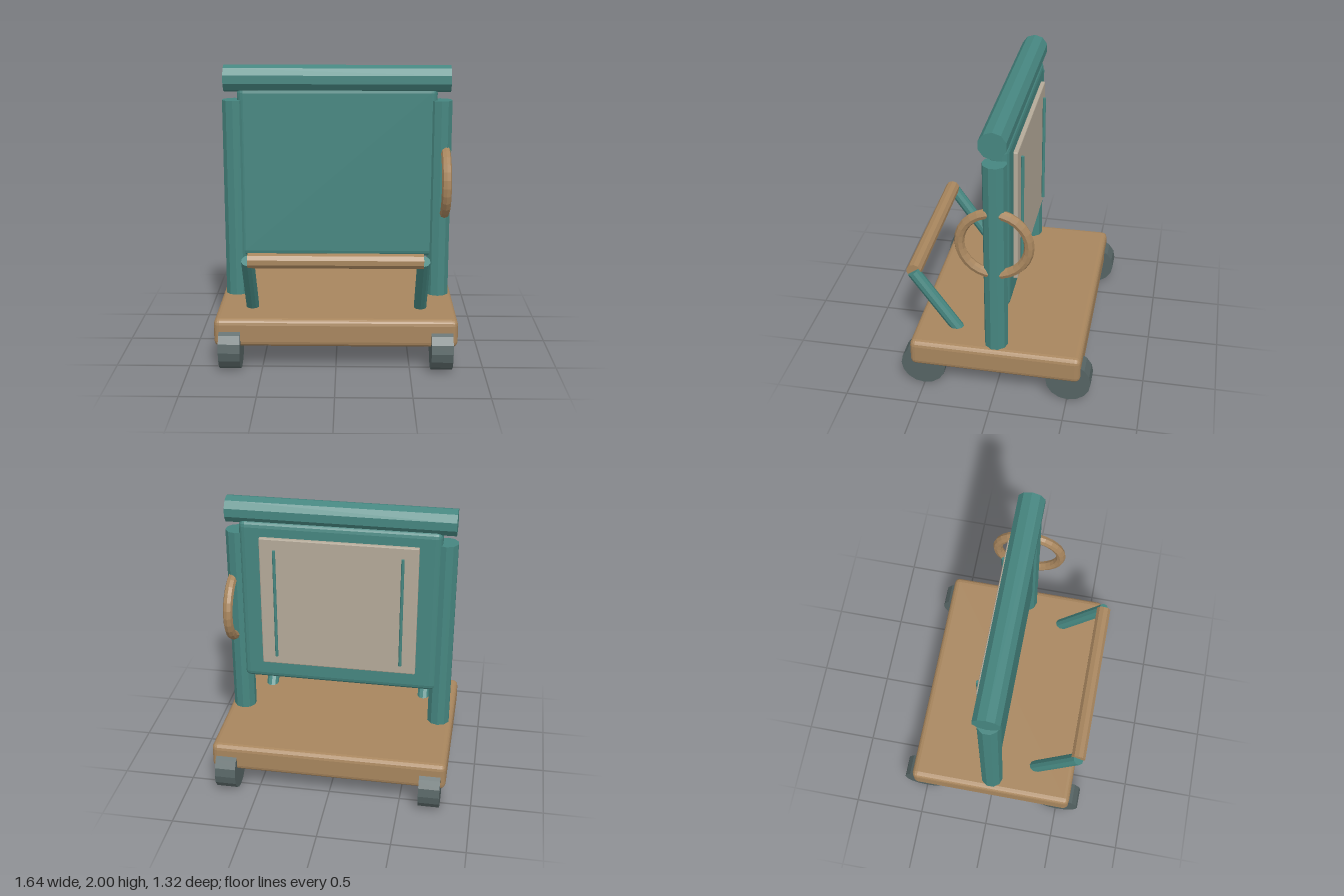
import * as THREE from 'three';
import { RoundedBoxGeometry } from 'three/addons/geometries/RoundedBoxGeometry.js';

function material(name, color) {
  const m = new THREE.MeshStandardMaterial({ color, flatShading: true });
  m.name = name;
  return m;
}

export function createModel() {
  const group = new THREE.Group();
  const teal = material('teal paint', 0x468680);
  const wood = material('wood', 0xa8865e);
  const rubber = material('grey rubber', 0x566464);
  const board = material('pale board', 0xb5aa99);

  function add(name, geometry, mat, x, y, z) {
    const mesh = new THREE.Mesh(geometry, mat);
    mesh.name = name;
    mesh.position.set(x, y, z);
    group.add(mesh);
    return mesh;
  }

  // Cylinder lying along x, with a corner pointing up
  const lying = (r, length, sides) =>
    new THREE.CylinderGeometry(r, r, length, sides).rotateY(Math.PI / 2).rotateZ(Math.PI / 2);

  // Rolling base
  add('deck', new RoundedBoxGeometry(1.64, 0.195, 1.18, 2, 0.04), wood, 0, 0.27, 0);
  for (const sx of [-1, 1]) {
    for (const sz of [-1, 1]) {
      add('wheel', lying(0.155, 0.145, 16), rubber, sx * 0.713, 0.155, sz * 0.505);
    }
  }

  // Upright frame
  for (const s of [-1, 1]) {
    add('post', new THREE.CylinderGeometry(0.08, 0.08, 1.46, 10), teal, s * 0.715, 1.03, 0);
  }
  add('topBar', lying(0.093, 1.555, 10), teal, 0, 1.907, 0);
  add('panel', new RoundedBoxGeometry(1.38, 1.21, 0.135, 2, 0.045), teal, 0, 1.25, -0.018);

  // Board and thin rods on the back
  add('backBoard', new RoundedBoxGeometry(1.085, 0.96, 0.034, 1, 0.008), board, 0, 1.27, -0.098);
  for (const s of [-1, 1]) {
    add('backRod', new THREE.CylinderGeometry(0.011, 0.011, 0.81, 8), teal, s * 0.437, 1.265, -0.127);
  }

  // Ring handle through the left post
  add('ringHandle', new THREE.TorusGeometry(0.228, 0.034, 8, 28).rotateY(Math.PI / 2), wood, 0.75, 1.19, 0);

  // Sloping arms carrying the front push bar
  const foot = new THREE.Vector3(0, 0.33, 0.285);
  const tip = new THREE.Vector3(0, 0.785, 0.6);
  const dir = tip.clone().sub(foot);
  for (const s of [-1, 1]) {
    const arm = add('barArm', new THREE.CylinderGeometry(0.044, 0.044, dir.length(), 10), teal,
      s * 0.578, (foot.y + tip.y) / 2, (foot.z + tip.z) / 2);
    arm.rotation.x = Math.atan2(dir.z, dir.y);
  }
  add('pushBar', lying(0.052, 1.155, 10), wood, 0, 0.785, 0.597);

  return group;
}
